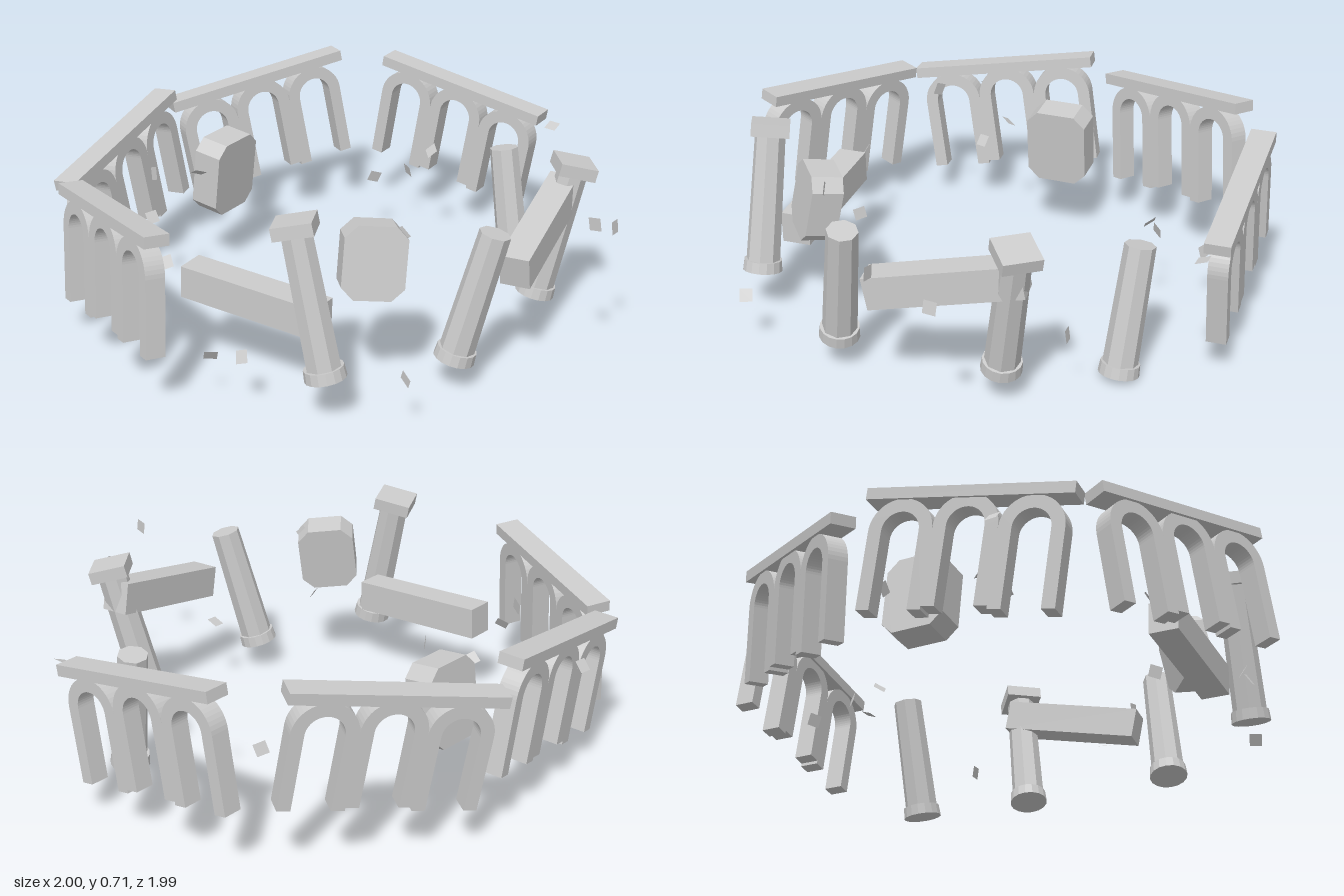
import * as THREE from 'three';

const mat = new THREE.MeshStandardMaterial({ color: 0xcccccc, flatShading: true });
const thin = new THREE.MeshStandardMaterial({ color: 0xcccccc, flatShading: true, side: THREE.DoubleSide });
const V = (a) => new THREE.Vector3(...a);

function add(parent, name, geo, x = 0, y = 0, z = 0, material = mat) {
  const m = new THREE.Mesh(geo, material);
  m.name = name;
  m.position.set(x, y, z);
  parent.add(m);
  return m;
}

// Lay an object's x axis along a -> b, midway between them, then roll it
function span(obj, a, b, roll = 0) {
  const p = V(a), q = V(b);
  const x = q.clone().sub(p).normalize();
  const z = x.clone().cross(new THREE.Vector3(0, 1, 0)).normalize();
  const y = z.clone().cross(x);
  obj.quaternion.setFromRotationMatrix(new THREE.Matrix4().makeBasis(x, y, z));
  obj.rotateX(roll);
  obj.position.copy(p).lerp(q, 0.5);
  return p.distanceTo(q);
}

// U-shaped arch, crown at y = 0, hanging down
function archGeometry(R, r, leg, depth) {
  const s = new THREE.Shape();
  s.moveTo(R, -R - leg);
  s.lineTo(R, -R);
  s.absarc(0, -R, R, 0, Math.PI, false);
  s.lineTo(-R, -R - leg);
  s.lineTo(-r, -R - leg);
  s.lineTo(-r, -R);
  s.absarc(0, -R, r, Math.PI, 0, true);
  s.lineTo(r, -R - leg);
  s.closePath();
  return new THREE.ExtrudeGeometry(s, { depth, bevelEnabled: false, curveSegments: 12 })
    .translate(0, 0, -depth / 2);
}

// Three arches under a flat beam; a and b are the ends of the beam's top
function arcade(root, a, b, roll) {
  const g = new THREE.Group();
  g.name = 'arcade';
  const len = span(g, a, b, roll);
  add(g, 'arcadeBeam', new THREE.BoxGeometry(len, 0.04, 0.09), 0, -0.02);
  const geo = archGeometry(0.112, 0.066, 0.272, 0.07);
  for (const i of [-1, 0, 1]) add(g, 'arch', geo, i * 0.224, i ? -0.037 : -0.025, 0);
  root.add(g);
}

// Eight-sided column from base to top, with an optional square capital
function column(root, base, top, capYaw) {
  const g = new THREE.Group();
  g.name = 'column';
  const d = V(top).sub(V(base)), h = d.length();
  g.position.copy(V(base));
  g.quaternion.setFromUnitVectors(new THREE.Vector3(0, 1, 0), d.normalize());
  add(g, 'columnBase', new THREE.CylinderGeometry(0.068, 0.071, 0.04, 16), 0, 0.02);
  const shaft = add(g, 'columnShaft', new THREE.CylinderGeometry(0.054, 0.061, h - 0.03, 8), 0, (h + 0.03) / 2);
  shaft.rotation.y = Math.PI / 8;
  if (capYaw !== undefined) {
    add(g, 'columnCapital', new THREE.BoxGeometry(0.135, 0.045, 0.135), 0, h - 0.0225).rotation.y = capYaw;
  }
  root.add(g);
}

// Block with clipped corners on its broad face
function clippedBlock(root, w, h, depth, pos, rot) {
  const c = 0.042, x = w / 2, y = h / 2;
  const s = new THREE.Shape([
    [x - c, -y], [x, -y + c], [x, y - c], [x - c, y],
    [-x + c, y], [-x, y - c], [-x, -y + c], [-x + c, -y],
  ].map((p) => new THREE.Vector2(...p)));
  const geo = new THREE.ExtrudeGeometry(s, { depth, bevelEnabled: false }).translate(0, 0, -depth / 2);
  const m = add(root, 'stoneBlock', geo, ...pos);
  m.rotation.set(...rot, 'YXZ');
}

export function createModel() {
  const root = new THREE.Group();
  root.name = 'floatingRuin';

  // Ring of arcades
  arcade(root, [-0.685, 0.53, -0.725], [0.0, 0.64, -0.9], -0.07);
  arcade(root, [0.075, 0.56, -0.955], [0.72, 0.67, -0.645], -0.07);
  arcade(root, [-0.7, 0.55, -0.675], [-0.93, 0.62, -0.02], -0.09);
  arcade(root, [0.855, 0.65, -0.475], [0.945, 0.53, 0.21], 0);

  // Leaning columns
  column(root, [-0.67, 0.16, 0.455], [-0.68, 0.69, 0.335], 0.57);
  column(root, [-0.23, 0.11, 0.645], [-0.145, 0.565, 0.735]);
  column(root, [0.355, 0.105, 0.58], [0.45, 0.61, 0.665], 0.8);
  column(root, [0.655, 0.016, 0.295], [0.68, 0.47, 0.21]);

  // Fallen lintels
  for (const [a, b, roll] of [
    [[-0.655, 0.33, -0.155], [-0.577, 0.305, 0.37], 0],
    [[-0.045, 0.39, 0.75], [0.46, 0.495, 0.62], 0],
  ]) {
    const m = add(root, 'lintel', new THREE.BoxGeometry(0.53, 0.115, 0.105));
    span(m, a, b, roll);
  }

  // Drifting blocks
  clippedBlock(root, 0.23, 0.29, 0.11, [0.007, 0.38, -0.607], [0.12, 0.1, 0]);
  clippedBlock(root, 0.21, 0.25, 0.11, [-0.425, 0.49, 0.45], [-0.17, -0.75, -0.1]);

  // Scattered shards
  const shard = new THREE.PlaneGeometry(0.045, 0.045);
  [
    [-0.43, 0.45, -0.84], [0.09, 0.4, -0.71], [-0.35, 0.3, -0.64], [-0.465, 0.55, -0.5],
    [-0.19, 0.45, -0.55], [-0.66, 0.35, -0.26], [-0.53, 0.22, 0.01], [-0.82, 0.18, 0.09],
    [-0.79, 0.2, 0.2], [-0.57, 0.2, 0.7], [-0.35, 0.57, 0.51], [0.02, 0.275, 0.6],
    [0.09, 0.58, 0.965], [0.285, 0.49, 0.93], [0.56, 0.25, 0.51], [0.92, 0.5, 0.27],
    [0.73, 0.23, -0.28], [0.54, 0.26, -0.3], [0.6, 0.41, -0.07],
  ].forEach((p, i) => {
    add(root, 'shard', shard, ...p, thin).rotation.set(0.7 + i * 0.9, i * 1.7, i * 2.3);
  });

  return root;
}
